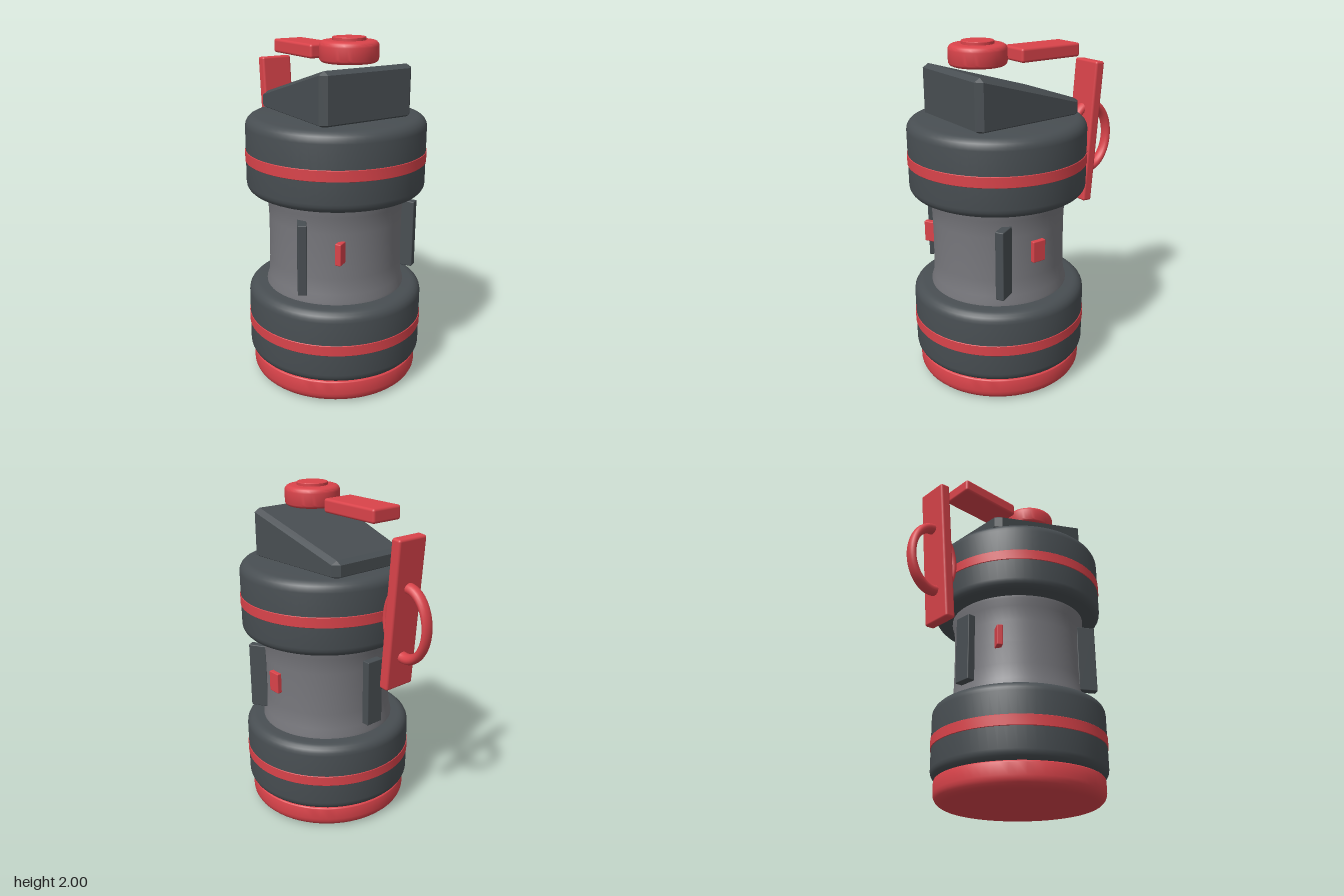
import * as THREE from 'three';
import { toCreasedNormals } from 'three/addons/utils/BufferGeometryUtils.js';
import { RoundedBoxGeometry } from 'three/addons/geometries/RoundedBoxGeometry.js';
import { ConvexGeometry } from 'three/addons/geometries/ConvexGeometry.js';

const AXIS_Z = 0.17; // the bottle's axis sits forward because of the handle

const material = (name, color) => {
  const m = new THREE.MeshStandardMaterial({ color });
  m.name = name;
  return m;
};

// Profile of a disc with rounded bottom and top rims
function discProfile(r, y0, y1, b0, b1, steps = 5) {
  const pts = [new THREE.Vector2(0, y0)];
  for (let i = 0; i <= steps; i++) {
    const a = (i / steps) * Math.PI / 2;
    pts.push(new THREE.Vector2(r - b0 + b0 * Math.sin(a), y0 + b0 - b0 * Math.cos(a)));
  }
  for (let i = 0; i <= steps; i++) {
    const a = (i / steps) * Math.PI / 2;
    pts.push(new THREE.Vector2(r - b1 + b1 * Math.cos(a), y1 - b1 + b1 * Math.sin(a)));
  }
  pts.push(new THREE.Vector2(0, y1));
  return pts;
}

// Wedge with chamfered edges, narrower and lower toward the back
function spoutGeometry() {
  const b = 0.035, pts = [];
  for (const front of [true, false]) {
    const w = front ? 0.302 : 0.262;
    const z = front ? 0.485 : -0.232;
    const top = front ? 1.855 : 1.665;
    const inZ = front ? -b : b;
    for (const s of [-1, 1]) {
      for (const [y, inY] of [[1.562, b * 0.5], [top, -b * 0.6]]) {
        pts.push(
          new THREE.Vector3(s * w, y + inY, z + inZ),
          new THREE.Vector3(s * (w - b), y, z + inZ),
          new THREE.Vector3(s * (w - b), y + inY, z));
      }
    }
  }
  return new ConvexGeometry(pts);
}

export function createModel() {
  const model = new THREE.Group();
  const red = material('red', 0xd9434a);
  const dark = material('dark grey', 0x484e52);
  const grey = material('mid grey', 0x77777c);

  const add = (name, geometry, mat, x = 0, y = 0, z = 0) => {
    const mesh = new THREE.Mesh(geometry, mat);
    mesh.name = name;
    mesh.position.set(x, y, z);
    model.add(mesh);
    return mesh;
  };
  const lathe = (name, pts, mat, z = AXIS_Z) =>
    add(name, toCreasedNormals(new THREE.LatheGeometry(pts, 64), 0.6), mat, 0, 0, z);

  // Base and the two wide collars with their stripes
  lathe('base', discProfile(0.492, 0, 0.138, 0.06, 0.012), red);
  for (const [name, y] of [['lower', 0.135], ['upper', 1.132]]) {
    lathe(name + 'Collar', discProfile(0.512, y, y + 0.435, 0.055, 0.06), dark);
    lathe(name + 'Stripe', discProfile(0.516, y + 0.178, y + 0.24, 0.002, 0.002, 1), red);
  }

  // Slightly waisted middle of the body
  const waist = [[0.405, 0.55], [0.405, 0.585], [0.392, 0.625], [0.387, 0.72], [0.386, 0.85],
    [0.387, 0.98], [0.392, 1.075], [0.405, 1.115], [0.405, 1.15]];
  lathe('body', waist.map(([r, y]) => new THREE.Vector2(r, y)), grey);

  // Three grip ribs and three small tabs around the body
  const around = (name, start, r, y, size, mat) => {
    for (let i = 0; i < 3; i++) {
      const a = start + i * Math.PI * 2 / 3;
      const mesh = add(name + (i + 1), new RoundedBoxGeometry(...size, 2, 0.005), mat,
        r * Math.cos(a), y, AXIS_Z + r * Math.sin(a));
      mesh.rotation.y = a;
    }
  };
  around('gripRib', Math.PI / 6, 0.42, 0.843, [0.05, 0.405, 0.112], dark);
  around('tab', 0, 0.394, 0.877, [0.035, 0.125, 0.082], red);

  // Spout block with its cap
  add('spoutBlock', spoutGeometry(), dark);
  lathe('cap', discProfile(0.162, 1.865, 1.982, 0.025, 0.03), red, 0.29);
  lathe('capButton', discProfile(0.091, 1.975, 2, 0.003, 0.003, 1), red, 0.29);

  // Strap, rear handle plate and carrying ring
  add('strap', new RoundedBoxGeometry(0.2, 0.08, 0.41, 3, 0.015), red, 0, 1.904, -0.141);
  const plate = add('handlePlate', new RoundedBoxGeometry(0.2, 0.87, 0.064, 3, 0.014), red,
    0, 1.385, -0.476);
  plate.rotation.x = -0.082;
  const ringGeometry = new THREE.TorusGeometry(0.203, 0.031, 16, 48);
  ringGeometry.scale(0.725, 1, 1.15);
  ringGeometry.rotateY(Math.PI / 2);
  add('carryRing', ringGeometry, red, 0, 1.338, -0.515);

  return model;
}
